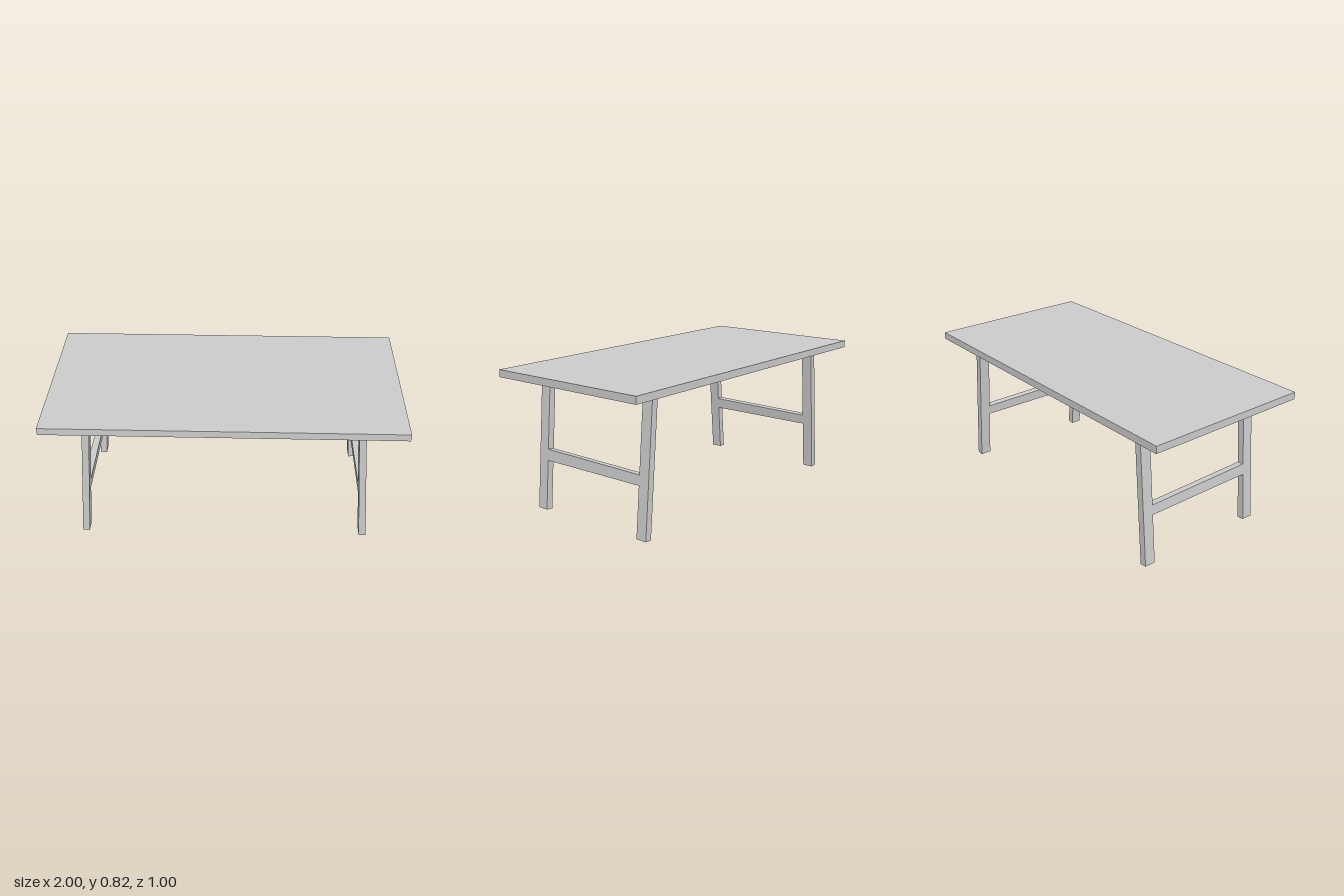
import * as THREE from 'three';

const material = new THREE.MeshStandardMaterial({ color: 0xcccccc, flatShading: true });
const THICK = 0.04;   // timber thickness across the table's length
const DEPTH = 0.065;  // timber depth
const TILT = THREE.MathUtils.degToRad(4.9);

function addBox(parent, name, size, position) {
  const mesh = new THREE.Mesh(new THREE.BoxGeometry(...size), material);
  mesh.name = name;
  mesh.position.set(...position);
  parent.add(mesh);
  return mesh;
}

// Splayed trestle: two legs joined by a rail, origin at the feet
function makeTrestle(name, side) {
  const trestle = new THREE.Group();
  trestle.name = name;
  const legLength = 0.786;
  for (const end of [1, -1]) {
    addBox(trestle, end > 0 ? 'frontLeg' : 'backLeg',
      [THICK, legLength, DEPTH], [0, legLength / 2, end * 0.3755]);
  }

  // Rail, its top edge dropping slightly towards the back
  const rail = addBox(trestle, 'rail', [THICK, 0.0615, 0.686], [0, 0.31875, 0]);
  const p = rail.geometry.attributes.position;
  for (let i = 0; i < p.count; i++) {
    if (p.getY(i) > 0) p.setY(i, p.getY(i) + Math.sign(p.getZ(i)) * 0.0035);
  }
  rail.geometry.computeVertexNormals();

  trestle.position.set(side * 0.822, (THICK / 2) * Math.sin(TILT), 0);
  trestle.rotation.z = side * TILT;
  return trestle;
}

export function createModel() {
  const table = new THREE.Group();
  table.name = 'table';
  addBox(table, 'tabletop', [2, 0.042, 1], [0, 0.8, 0]);
  table.add(makeTrestle('leftTrestle', 1), makeTrestle('rightTrestle', -1));
  return table;
}
